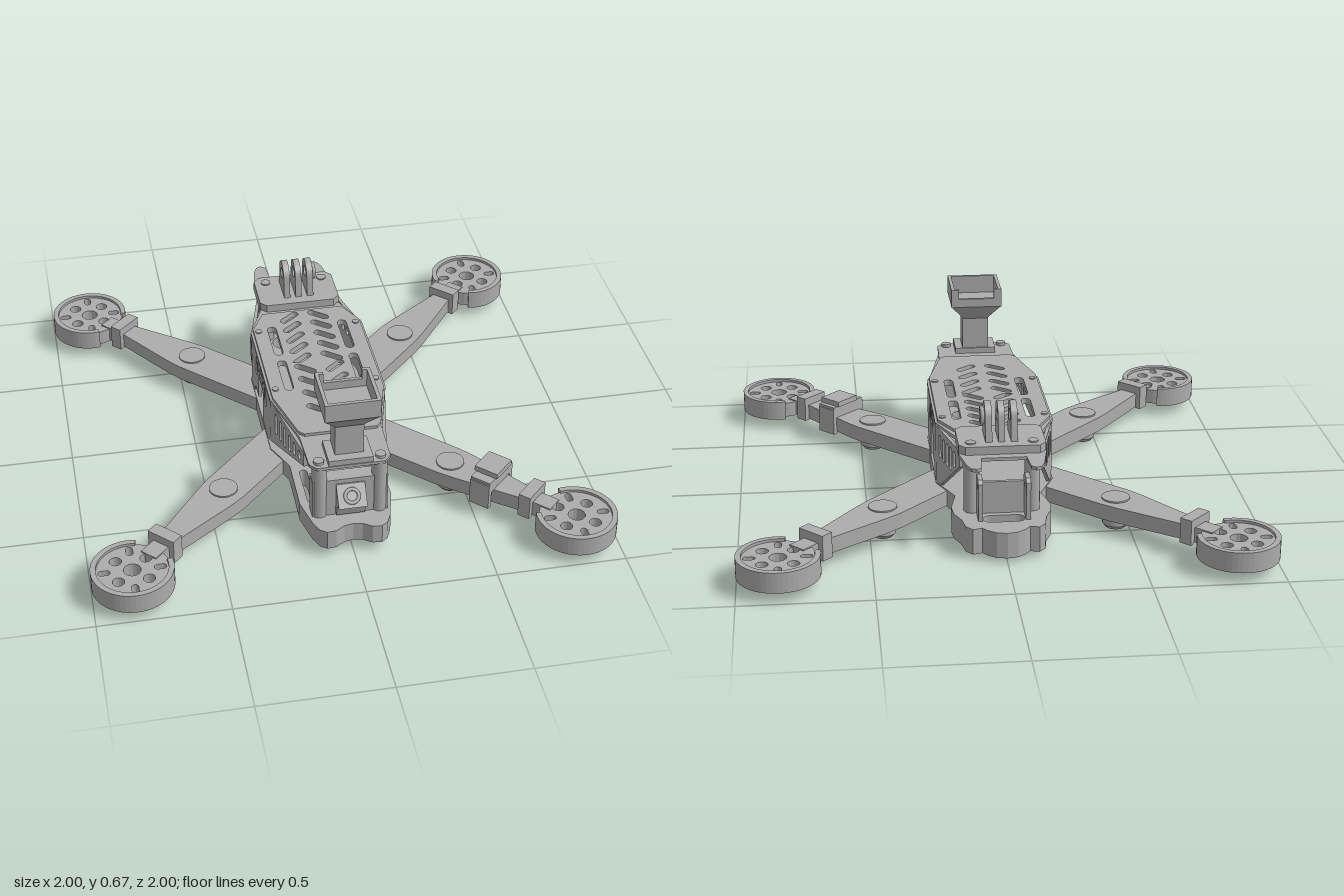
import * as THREE from 'three';

const frameGrey = new THREE.MeshStandardMaterial({ color: 0xacacac });
frameGrey.name = 'frameGrey';

function add(parent, name, geo, x = 0, y = 0, z = 0) {
  const m = new THREE.Mesh(geo, frameGrey);
  m.name = name;
  m.position.set(x, y, z);
  parent.add(m);
  return m;
}
const box = (p, name, w, h, d, x, y, z) => add(p, name, new THREE.BoxGeometry(w, h, d), x, y, z);
const cyl = (p, name, r1, r2, y0, y1, x, z, n = 24) =>
  add(p, name, new THREE.CylinderGeometry(r1, r2, y1 - y0, n), x, (y0 + y1) / 2, z);

const shapeOf = (pts, holes = []) => {
  const s = new THREE.Shape(pts.map(([a, b]) => new THREE.Vector2(a, b)));
  s.holes.push(...holes);
  return s;
};
// outline given for the +x side, mirrored to the other side
const mirrored = (pts, holes) =>
  shapeOf([...pts, ...pts.filter(p => p[0] > 0).reverse().map(([x, z]) => [-x, z])], holes);
// capsule-shaped hole; len along angle, w across
function slot(cx, cy, len, w, ang = 0) {
  const pts = [], h = Math.max(0, len - w) / 2, c = Math.cos(ang), s = Math.sin(ang);
  for (let i = 0; i < 16; i++) {
    const t = -Math.PI / 2 + (i < 8 ? i / 7 : 1 + (i - 8) / 7) * Math.PI;
    const u = Math.cos(t) * w / 2 + (i < 8 ? h : -h), v = Math.sin(t) * w / 2;
    pts.push(new THREE.Vector2(cx + u * c - v * s, cy + u * s + v * c));
  }
  return new THREE.Path(pts);
}
// flat plate: shape is in (x, z), thickness from y0 to y1
function plate(p, name, shape, y0, y1) {
  const g = new THREE.ExtrudeGeometry(shape, { depth: y1 - y0, bevelEnabled: false, curveSegments: 20 });
  return add(p, name, g.rotateX(Math.PI / 2).translate(0, y1, 0));
}
// upright plate: shape is in (z, y), thickness from x0 to x1
function upright(p, name, shape, x0, x1) {
  const g = new THREE.ExtrudeGeometry(shape, { depth: x1 - x0, bevelEnabled: false, curveSegments: 16 });
  return add(p, name, g.rotateY(-Math.PI / 2).translate(x1, 0, 0));
}

// one arm pointing along local +x, with motor mount, foot and cable clip
function buildArm(i) {
  const arm = new THREE.Group(), D = 1.195;
  arm.name = 'arm';
  plate(arm, 'armBeam', shapeOf([[0, -.09], [.3, -.09], [.63, -.092], [.7, -.085], [1.0, -.035], [1.1, -.035],
    [1.1, .035], [1.0, .035], [.7, .078], [.63, .085], [.3, .09], [0, .09]]), .055, .117);
  cyl(arm, 'armScrewCap', .055, .055, .116, .123, .635, 0);
  cyl(arm, 'footPad', .05, .05, .015, .056, .635, 0);
  cyl(arm, 'footTip', .05, .038, 0, .015, .635, 0);

  const mount = new THREE.Group();
  mount.name = 'motorMount';
  mount.position.x = D;
  const disc = new THREE.Shape().absarc(0, 0, .142, 0, Math.PI * 2, false);
  disc.holes.push(slot(0, 0, .066, .066));
  for (let k = 0; k < 4; k++) {
    const a = k * Math.PI / 2, b = a + Math.PI / 4;
    disc.holes.push(slot(Math.cos(a) * .08, Math.sin(a) * .08, .046, .046));
    disc.holes.push(slot(Math.cos(b) * .104, Math.sin(b) * .104, .046, .026, b));
  }
  plate(mount, 'motorPlate', disc, .05, .112);
  const gap = .6, rim = new THREE.Shape();
  rim.absarc(0, 0, .155, -Math.PI + gap, Math.PI - gap, false);
  rim.absarc(0, 0, .134, Math.PI - gap, -Math.PI + gap, true);
  plate(mount, 'motorGuard', rim, .043, .123);
  arm.add(mount);

  // clip straddling the arm
  box(arm, 'clipTop', .05, .035, .12, 1.0, .133, 0);
  for (const s of [-1, 1]) box(arm, 'clipLeg', .05, .08, .022, 1.0, .09, s * .049);

  if (i === 0) {
    // larger holder on the front left arm
    box(arm, 'holderBody', .085, .05, .17, .82, .14, 0);
    box(arm, 'holderCap', .1, .022, .11, .82, .176, -.01);
    for (const s of [-1, 1]) box(arm, 'holderLeg', .085, .11, .02, .82, .1, s * .08);
  }
  arm.rotation.y = -(Math.PI / 4 + i * Math.PI / 2);
  return arm;
}

export function createModel() {
  const g = new THREE.Group();
  g.name = 'quadcopterFrame';
  for (let i = 0; i < 4; i++) g.add(buildArm(i));

  // lower deck
  plate(g, 'hubPlate', mirrored([[.16, .4], [.19, .33], [.23, .24], [.23, -.24], [.19, -.33], [.16, -.4]]), .05, .122);
  plate(g, 'frontBumper', mirrored([[.16, .3], [.175, .36], [.178, .6], [.15, .72], [.13, .765], [.105, .783],
    [.07, .78], [.035, .757], [0, .75]], [slot(0, .47, .22, .09), slot(-.13, .5, .2, .03, Math.PI / 2),
    slot(.13, .5, .2, .03, Math.PI / 2)]), .042, .122);
  plate(g, 'rearBumper', mirrored([[.16, -.35], [.19, -.49], [.185, -.55], [.16, -.61], [.15, -.67], [.125, -.7],
    [.09, -.69], [.07, -.715], [.04, -.737], [0, -.745]], [slot(0, -.47, .2, .09), slot(0, -.61, .16, .06)]), .02, .122);

  // upper deck with chevron and long slots
  const deckHoles = () => {
    const h = [];
    for (const s of [-1, 1]) {
      [-.28, -.21, -.135, -.06, .015, .085, .17, .26, .35].forEach((z, i) =>
        h.push(slot(s * .06, z, .095, .03, s * (i < 5 ? 1 : -1) * .68)));
      for (const z of [-.125, .115]) h.push(slot(s * .145, z, .2, .036, Math.PI / 2));
    }
    return h;
  };
  plate(g, 'topPlate', mirrored([[0, .7], [.13, .7], [.155, .67], [.16, .5], [.23, .24], [.23, -.22], [.165, -.37],
    [.165, -.55], [.145, -.66], [.13, -.695], [.11, -.703], [.092, -.69], [.085, -.6], [0, -.6]], deckHoles()), .352, .365);
  plate(g, 'topCover', mirrored([[.14, .5], [.16, .48], [.22, .25], [.22, -.22], [.165, -.325]], deckHoles()), .364, .377);

  for (const s of [-1, 1]) {
    for (const z of [-.2, .2]) cyl(g, 'deckScrew', .013, .013, .37, .382, s * .2, z, 12);
    for (const z of [.667, -.523]) {
      cyl(g, 'standoff', .03, .03, .12, .355, s * .115, z, 16);
      cyl(g, 'standoffScrew', .02, .02, .36, z > 0 ? .378 : .402, s * .118, z, 12);
    }
  }

  // side panels: three flat sections that follow the deck outline
  const slantF = z => .159 + (z - .24) * .38, slantR = z => .12 + (-.27 - z) * .74;
  const vent = (z, lo) => slot(z, (lo + .33) / 2, .33 - lo, .022, Math.PI / 2);
  const sections = [
    { pts: [[.585, .355], [.585, .29], [.24, .159], [.24, .355]], z0: .24, slope: -.2,
      vents: [.54, .487, .44, .39, .348, .3].map(z => vent(z, Math.max(.235, slantF(z) + .018))) },
    { pts: [[.24, .355], [.24, .159], [.165, .12], [.055, .12], [.055, .265], [-.055, .265], [-.055, .16],
      [-.13, .16], [-.16, .12], [-.22, .12], [-.22, .355]], z0: 0, slope: 0,
      vents: [.12, .08, .03, -.012, -.055, -.1].map((z, i) => vent(z, i > 1 && i < 5 ? .285 : .24)) },
    { pts: [[-.22, .355], [-.22, .12], [-.27, .12], [-.5, .29], [-.5, .355]], z0: -.22, slope: .25,
      vents: [-.27, -.315, -.355, -.395, -.437].map(z => vent(z, Math.max(.235, slantR(z) + .02))) },
  ];
  for (const s of [-1, 1]) for (const sec of sections) {
    const m = upright(g, 'sidePanel', shapeOf(sec.pts, sec.vents), -.007, .007);
    const p = m.geometry.attributes.position;
    for (let i = 0; i < p.count; i++) p.setX(i, p.getX(i) + s * (.221 + (p.getZ(i) - sec.z0) * sec.slope));
    m.geometry.computeVertexNormals();
  }

  // front camera block
  box(g, 'cameraBlock', .29, .165, .06, 0, .205, .655);
  upright(g, 'cameraWedge', shapeOf([[.68, .13], [.7, .13], [.715, .185], [.748, .195], [.69, .268], [.68, .268]]), -.055, .055);
  const lens = add(g, 'cameraLens', new THREE.TorusGeometry(.026, .007, 8, 24), 0, .231, .72);
  lens.rotation.x = -.67;

  // antenna tray on a stem
  const tz = .617;
  box(g, 'stemBase', .17, .025, .13, 0, .376, .632);
  box(g, 'stem', .11, .15, .088, 0, .455, tz);
  const funnel = new THREE.CylinderGeometry(.105 * Math.SQRT2, .05 * Math.SQRT2, .07, 4, 1).rotateY(Math.PI / 4).toNonIndexed();
  funnel.computeVertexNormals();
  add(g, 'trayFunnel', funnel, 0, .556, tz);
  for (const s of [-1, 1]) {
    box(g, 'traySide', .014, .076, .21, s * .098, .627, tz);
    box(g, 'trayBackCorner', .03, .076, .014, s * .088, .627, tz - .098);
  }
  box(g, 'trayFront', .21, .076, .014, 0, .627, tz + .098);
  box(g, 'trayBack', .21, .035, .014, 0, .607, tz - .098);

  // rear mount with three drilled lugs
  plate(g, 'mountBase', mirrored([[.14, -.353], [.165, -.378], [.165, -.54], [.14, -.567]]), .364, .397);
  const lug = () => {
    const s = new THREE.Shape();
    s.moveTo(-.525, .39);
    s.lineTo(-.395, .39);
    s.absarc(-.457, .482, .053, -.1 + .25, Math.PI - .15, false);
    s.holes.push(slot(-.457, .482, .046, .046));
    return s;
  };
  for (const [a, b] of [[-.06, -.035], [-.012, .013], [.036, .062]]) upright(g, 'mountLug', lug(), a, b);
  const nut = add(g, 'mountNut', new THREE.TorusGeometry(.029, .009, 6, 6), .07, .482, -.457);
  nut.rotation.y = Math.PI / 2;

  // rear antenna bracket
  for (const s of [-1, 1]) upright(g, 'rearBracket', shapeOf([[-.54, .12], [-.63, .12], [-.63, .27], [-.615, .285],
    [-.56, .285], [-.54, .27]], [slot(-.582, .245, .022, .022)]), s * .09 - .009, s * .09 + .009);
  box(g, 'rearBracketWall', .18, .13, .015, 0, .185, -.55);
  return g;
}
